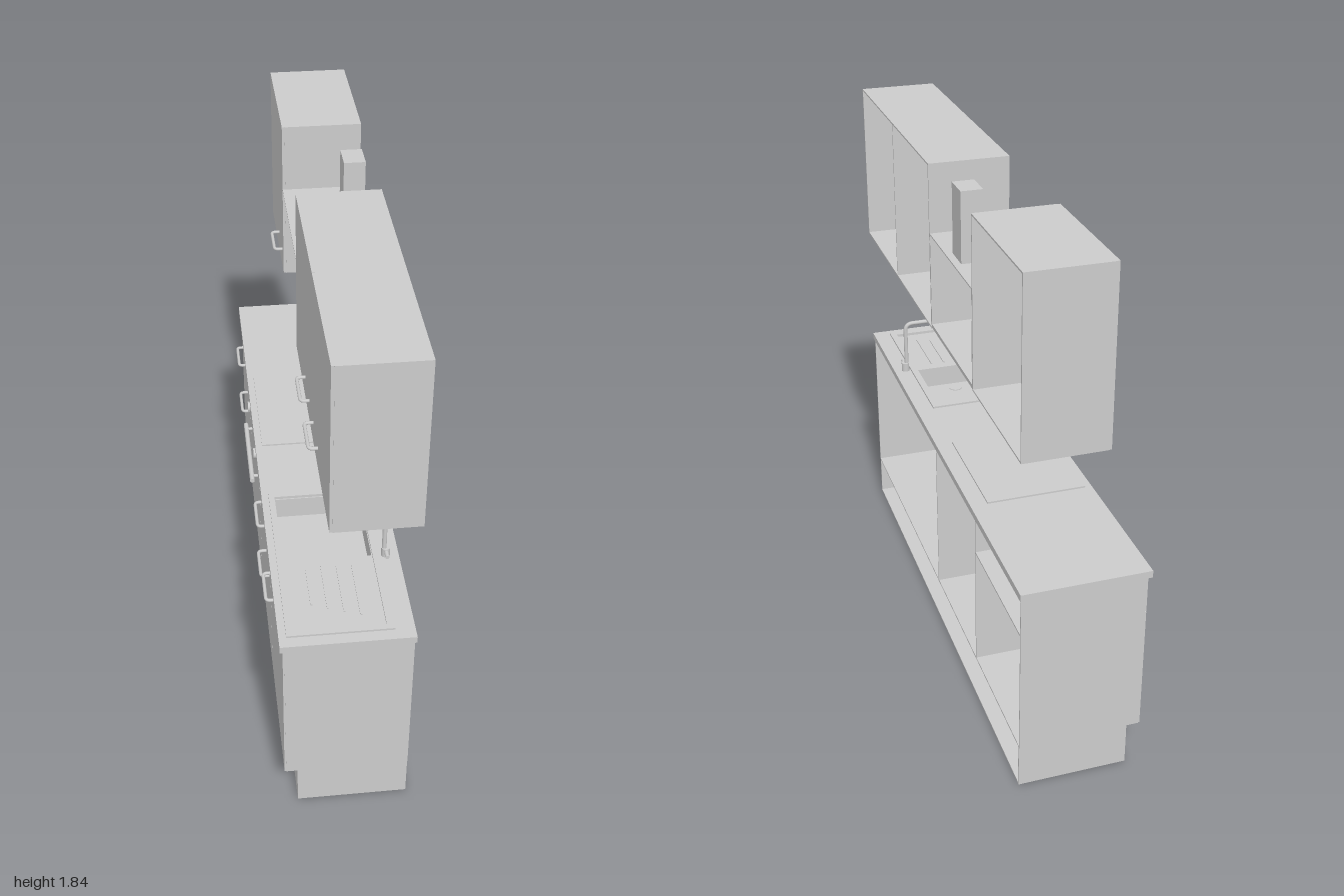
import * as THREE from 'three';

const mat = new THREE.MeshStandardMaterial({ color: 0xcccccc, side: THREE.DoubleSide });
const T = 0.006; // board thickness

export function createModel() {
  const model = new THREE.Group();
  model.name = 'kitchen';

  const add = (name, geo, parent = model) => {
    const m = new THREE.Mesh(geo, mat);
    m.name = name;
    parent.add(m);
    return m;
  };
  const group = (name) => {
    const g = new THREE.Group();
    g.name = name;
    model.add(g);
    return g;
  };
  // Box from its limits on each axis
  const box = (name, [x0, x1], [y0, y1], [z0, z1], parent) => {
    const m = add(name, new THREE.BoxGeometry(x1 - x0, y1 - y0, z1 - z0), parent);
    m.position.set((x0 + x1) / 2, (y0 + y1) / 2, (z0 + z1) / 2);
    return m;
  };
  // Horizontal slab with a rectangular hole
  const slab = (name, [x0, x1], [y0, y1], [z0, z1], [hx0, hx1, hz0, hz1], parent) => {
    const corners = (a, b, c, d) => [[a, c], [b, c], [b, d], [a, d]].map(p => new THREE.Vector2(...p));
    const s = new THREE.Shape(corners(x0, x1, z0, z1));
    s.holes.push(new THREE.Path(corners(hx0, hx1, hz0, hz1)));
    const geo = new THREE.ExtrudeGeometry(s, { depth: y1 - y0, bevelEnabled: false });
    geo.rotateX(Math.PI / 2).translate(0, y1, 0);
    return add(name, geo, parent);
  };
  const cyl = (name, r, h, [x, y, z], axis, parent) => {
    const geo = new THREE.CylinderGeometry(r, r, h, 20);
    if (axis === 'x') geo.rotateZ(Math.PI / 2);
    if (axis === 'z') geo.rotateX(Math.PI / 2);
    add(name, geo, parent).position.set(x, y, z);
  };
  // Tube along straight runs with rounded corners
  const pipe = (name, pts, bend, r, parent) => {
    const v = pts.map(p => new THREE.Vector3(...p));
    const path = new THREE.CurvePath();
    let from = v[0];
    for (let i = 1; i < v.length - 1; i++) {
      const a = v[i].clone().add(v[i - 1].clone().sub(v[i]).setLength(bend));
      const b = v[i].clone().add(v[i + 1].clone().sub(v[i]).setLength(bend));
      path.add(new THREE.LineCurve3(from, a));
      path.add(new THREE.QuadraticBezierCurve3(a, v[i], b));
      from = b;
    }
    path.add(new THREE.LineCurve3(from, v[v.length - 1]));
    add(name, new THREE.TubeGeometry(path, 64, r, 10), parent);
  };
  // Bow handle on a front at x
  const handle = (x, y, z, parent, half = 0.066) => pipe('handle', [
    [x, y, z - half], [x - 0.03, y, z - half], [x - 0.03, y, z + half], [x, y, z + half],
  ], 0.015, 0.006, parent);

  // Plinth, open at the back
  const plinth = group('plinth');
  box('plinthFloor', [-0.155, 0.225], [0, T], [-0.985, 0.985], plinth);
  box('plinthFront', [-0.155, -0.155 + T], [0, 0.16], [-0.985, 0.985], plinth);
  for (const s of [-1, 1]) {
    const z = s * (0.985 - T / 2);
    box('plinthEnd', [-0.155, 0.225], [0, 0.16], [z - T / 2, z + T / 2], plinth);
  }

  // Base cabinets, open at the back
  const base = group('baseCabinets');
  box('baseFloor', [-0.194, 0.225], [0.16, 0.16 + T], [-0.99, 0.99], base);
  for (const z of [-0.987, -0.5, 0, 0.987])
    box('basePanel', [-0.194, 0.225], [0.16, 0.755], [z - T / 2, z + T / 2], base);
  box('drawerShelf', [-0.194, 0.225], [0.612, 0.612 + T], [-0.987, -0.5], base);

  // Doors and drawer fronts
  const G = 0.003;
  const front = (name, y0, y1, z0, z1) =>
    box(name, [-0.2, -0.19], [y0 + G / 2, y1 - G / 2], [z0 + G / 2, z1 - G / 2], base);
  for (const [z0, z1] of [[-0.99, -0.5], [-0.5, 0], [0, 0.5]]) {
    front('lowerFront', 0.16, 0.618, z0, z1);
    front('upperFront', 0.618, 0.755, z0, z1);
  }
  front('sinkDoor', 0.16, 0.755, 0.5, 0.99);
  for (const [y, z] of [[0.69, -0.755], [0.56, -0.61], [0.69, 0.255], [0.56, 0.375], [0.69, 0.63]])
    handle(-0.2, y, z, base);

  // Oven handle and knobs
  const oven = group('ovenControls');
  cyl('ovenHandle', 0.009, 0.36, [-0.223, 0.57, -0.26], 'z', oven);
  for (const z of [-0.41, -0.11]) cyl('ovenHandlePost', 0.006, 0.025, [-0.211, 0.57, z], 'x', oven);
  for (const z of [-0.4, -0.1]) cyl('knob', 0.02, 0.016, [-0.207, 0.69, z], 'x', oven);

  // Worktop and hob
  slab('worktop', [-0.21, 0.23], [0.755, 0.78], [-1, 1], [-0.168, 0.143, 0.275, 0.94]);
  box('hob', [-0.185, 0.17], [0.78, 0.786], [-0.465, -0.025]);

  // Sink: rim, bowl and draining board
  const sink = group('sink');
  const X = [-0.165, 0.14];
  slab('sinkRim', [-0.185, 0.165], [0.78, 0.787], [0.255, 0.96], [...X, 0.28, 0.937], sink);
  box('drainer', [-0.168, 0.143], [0.77, 0.775], [0.605, 0.94], sink);
  box('bowlBottom', X, [0.69, 0.694], [0.28, 0.605], sink);
  for (const z of [0.28, 0.605]) box('bowlEnd', X, [0.69, 0.775], [z - 0.002, z + 0.002], sink);
  for (const x of X) box('bowlSide', [x - 0.002, x + 0.002], [0.69, 0.775], [0.28, 0.605], sink);
  cyl('drain', 0.025, 0.014, [-0.01, 0.69, 0.56], 'y', sink);
  for (let i = 0; i < 4; i++) {
    const x = -0.09 + i * 0.052;
    box('drainerRib', [x - 0.003, x + 0.003], [0.775, 0.779], [0.64, 0.82 + i * 0.02], sink);
  }

  // Tap
  const tap = group('tap');
  cyl('tapFoot', 0.015, 0.035, [0.185, 0.797, 0.61], 'y', tap);
  cyl('tapLever', 0.007, 0.05, [0.185, 0.806, 0.628], 'z', tap);
  pipe('tapSpout', [
    [0.18, 0.79, 0.61], [0.18, 0.985, 0.61], [0.03, 0.985, 0.61], [0.03, 0.925, 0.61],
  ], 0.03, 0.008, tap);

  // Wall cabinets, open at the back
  const wall = group('wallCabinets');
  for (const [z0, z1] of [[-0.99, -0.5], [0, 0.99]]) {
    for (const y of [1.24, 1.84 - T])
      box('wallBoard', [-0.045, 0.23], [y, y + T], [z0, z1], wall);
    for (const z of [z0 + T / 2, z1 - T / 2])
      box('wallSide', [-0.045, 0.23], [1.24, 1.84], [z - T / 2, z + T / 2], wall);
  }
  box('wallPartition', [-0.045, 0.23], [1.24, 1.84], [0.497, 0.503], wall);
  for (const [z0, z1, hz] of [[-0.99, -0.5, -0.61], [0, 0.5, 0.37], [0.5, 0.99, 0.62]]) {
    box('wallDoor', [-0.055, -0.045], [1.24, 1.84], [z0 + G / 2, z1 - G / 2], wall);
    handle(-0.055, 1.32, hz, wall);
  }

  // Cooker hood: forward-leaning front, open back, duct through the top
  const hood = group('hood');
  const profile = (pts) => {
    const s = new THREE.Shape(pts.map(p => new THREE.Vector2(...p)));
    return (z0, z1) => new THREE.ExtrudeGeometry(s, { depth: z1 - z0, bevelEnabled: false }).translate(0, 0, z0);
  };
  add('hoodFront', profile([[0.02, 1.25], [0.026, 1.25], [-0.049, 1.595], [-0.055, 1.595]])(-0.498, -0.002), hood);
  const side = profile([[0.02, 1.25], [0.23, 1.25], [0.23, 1.595], [-0.055, 1.595]]);
  add('hoodSide', side(-0.498, -0.494), hood);
  add('hoodSide', side(-0.006, -0.002), hood);
  box('hoodFloor', [0.02, 0.23], [1.245, 1.259], [-0.498, -0.002], hood);
  slab('hoodTop', [-0.055, 0.23], [1.59, 1.595], [-0.498, -0.002], [0.13, 0.205, -0.3, -0.2], hood);
  for (const x of [0.13, 0.201]) box('ductSide', [x, x + 0.004], [1.595, 1.84], [-0.3, -0.2], hood);
  for (const z of [-0.3, -0.204]) box('ductSide', [0.13, 0.205], [1.595, 1.84], [z, z + 0.004], hood);
  box('ductTop', [0.13, 0.205], [1.836, 1.84], [-0.3, -0.2], hood);

  return model;
}
